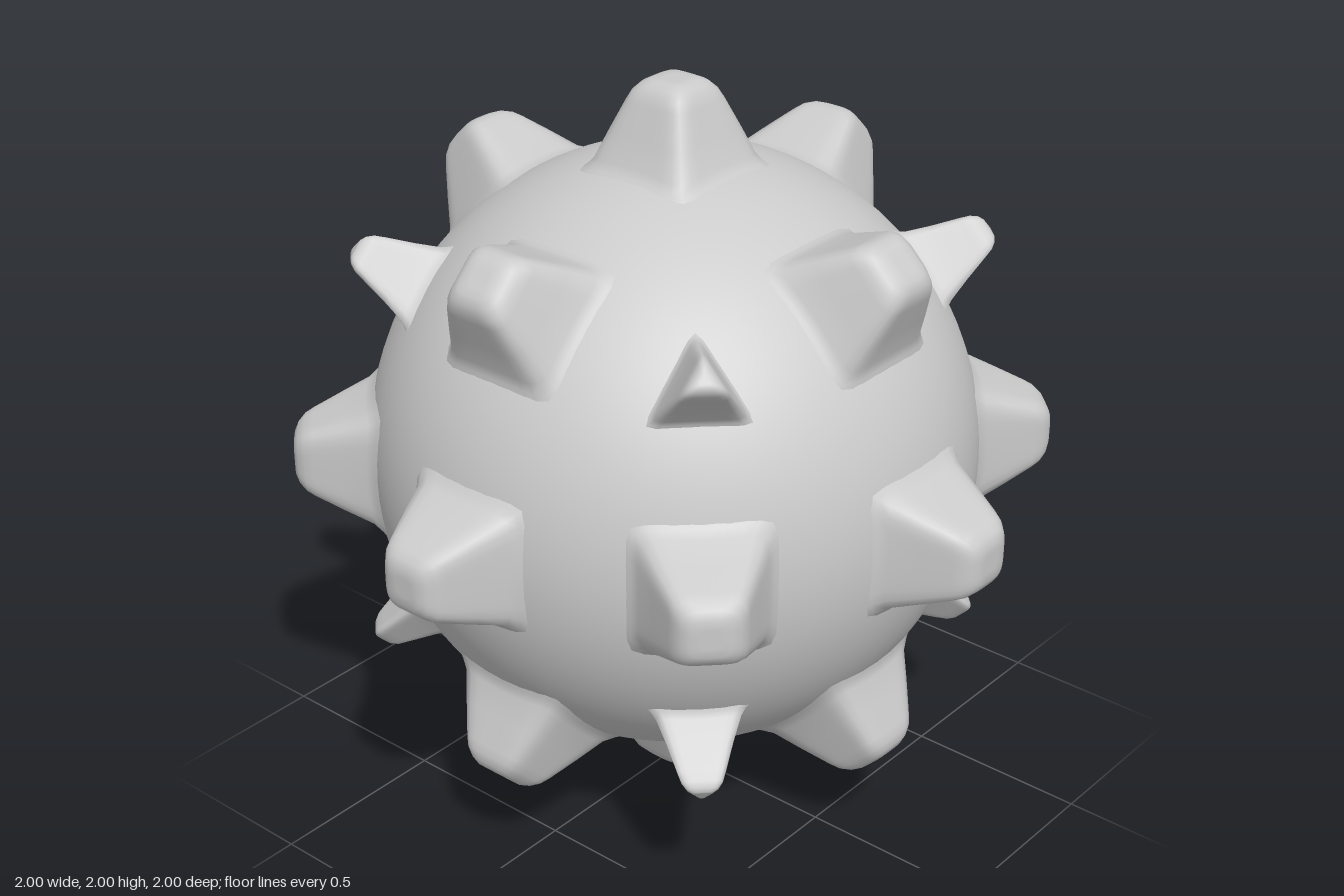
import * as THREE from 'three';

const R = 0.8; // ball radius
const SEG = 48; // points around each spike

// Soft polygon of inradius 1: distance from centre at angle a
function softPolygon(a, sides, n) {
  let sum = 0;
  for (let i = 0; i < sides; i++) {
    const normal = (sides === 3 ? Math.PI / 3 : 0) + (i * 2 * Math.PI) / sides;
    sum += Math.max(0, Math.cos(a - normal)) ** n;
  }
  return sum ** (-1 / n);
}

// Rings from root to tip: [rise from ball surface to tip, half width, corner sharpness]
const SQUARE = [
  [-0.05, 0.2, 10], [0.02, 0.172, 10], [0.1, 0.155, 9], [0.4, 0.127, 8], [0.75, 0.097, 6],
  [0.86, 0.087, 5], [0.95, 0.071, 4], [1, 0.05, 4], [1, 0.025, 4],
];
const TRIANGLE = [
  [-0.05, 0.088, 9], [0.02, 0.074, 9], [0.1, 0.067, 8], [0.4, 0.053, 7], [0.75, 0.04, 5],
  [0.88, 0.035, 4], [0.96, 0.028, 3], [1, 0.018, 3], [1, 0.009, 3],
];

// Lofted spike along dir, one side of its section facing ref
function spike(name, dir, ref, sides, rings, height, material) {
  const d = dir.clone().normalize();
  const u = ref.clone().addScaledVector(d, -ref.dot(d)).normalize();
  const v = new THREE.Vector3().crossVectors(d, u);
  const pos = [], index = [];
  for (const [rise, width, n] of rings) {
    for (let i = 0; i < SEG; i++) {
      const a = (i / SEG) * Math.PI * 2;
      const r = width * softPolygon(a, sides, n);
      const h = THREE.MathUtils.lerp(Math.sqrt(R * R - r * r), height, rise);
      const p = d.clone().multiplyScalar(h)
        .addScaledVector(u, r * Math.cos(a)).addScaledVector(v, r * Math.sin(a));
      pos.push(p.x, p.y, p.z);
    }
  }
  const tip = d.clone().multiplyScalar(height);
  pos.push(tip.x, tip.y, tip.z);
  const last = rings.length - 1;
  for (let j = 0; j <= last; j++) {
    for (let i = 0; i < SEG; i++) {
      const k = (i + 1) % SEG;
      const a = j * SEG + i, b = j * SEG + k;
      if (j < last) index.push(a, b, b + SEG, a, b + SEG, a + SEG);
      else index.push(a, b, rings.length * SEG);
    }
  }
  const geo = new THREE.BufferGeometry();
  geo.setAttribute('position', new THREE.Float32BufferAttribute(pos, 3));
  geo.setIndex(index);
  geo.computeVertexNormals();
  const mesh = new THREE.Mesh(geo, material);
  mesh.name = name;
  return mesh;
}

export function createModel() {
  const group = new THREE.Group();
  group.name = 'spikedBall';
  const material = new THREE.MeshStandardMaterial({ color: 0xcccccc });

  const ball = new THREE.Mesh(new THREE.SphereGeometry(R, 72, 48), material);
  ball.name = 'ball';
  group.add(ball);

  const X = new THREE.Vector3(1, 0, 0), Y = new THREE.Vector3(0, 1, 0), Z = new THREE.Vector3(0, 0, 1);

  // Spikes in all 26 directions of a cube's faces, edges and corners
  for (let x = -1; x <= 1; x++) for (let y = -1; y <= 1; y++) for (let z = -1; z <= 1; z++) {
    const count = Math.abs(x) + Math.abs(y) + Math.abs(z);
    const dir = new THREE.Vector3(x, y, z);
    if (count === 1) {
      group.add(spike('faceSpike', dir, x ? Y : X, 4, SQUARE, 1, material));
    } else if (count === 2) {
      // One edge spike sits higher round the side than the rest
      if (x === -1 && y === -1) dir.set(-0.835, -0.55, 0);
      group.add(spike('edgeSpike', dir, !x ? X : !y ? Y : Z, 4, SQUARE, 0.995, material));
    } else if (count === 3) {
      // Triangular spike, its ridges pointing to the nearest face spikes
      group.add(spike('cornerSpike', dir, new THREE.Vector3(x, 0, 0), 3, TRIANGLE, 0.99, material));
    }
  }

  group.position.y = 1;
  const model = new THREE.Group();
  model.name = 'model';
  model.add(group);
  return model;
}
